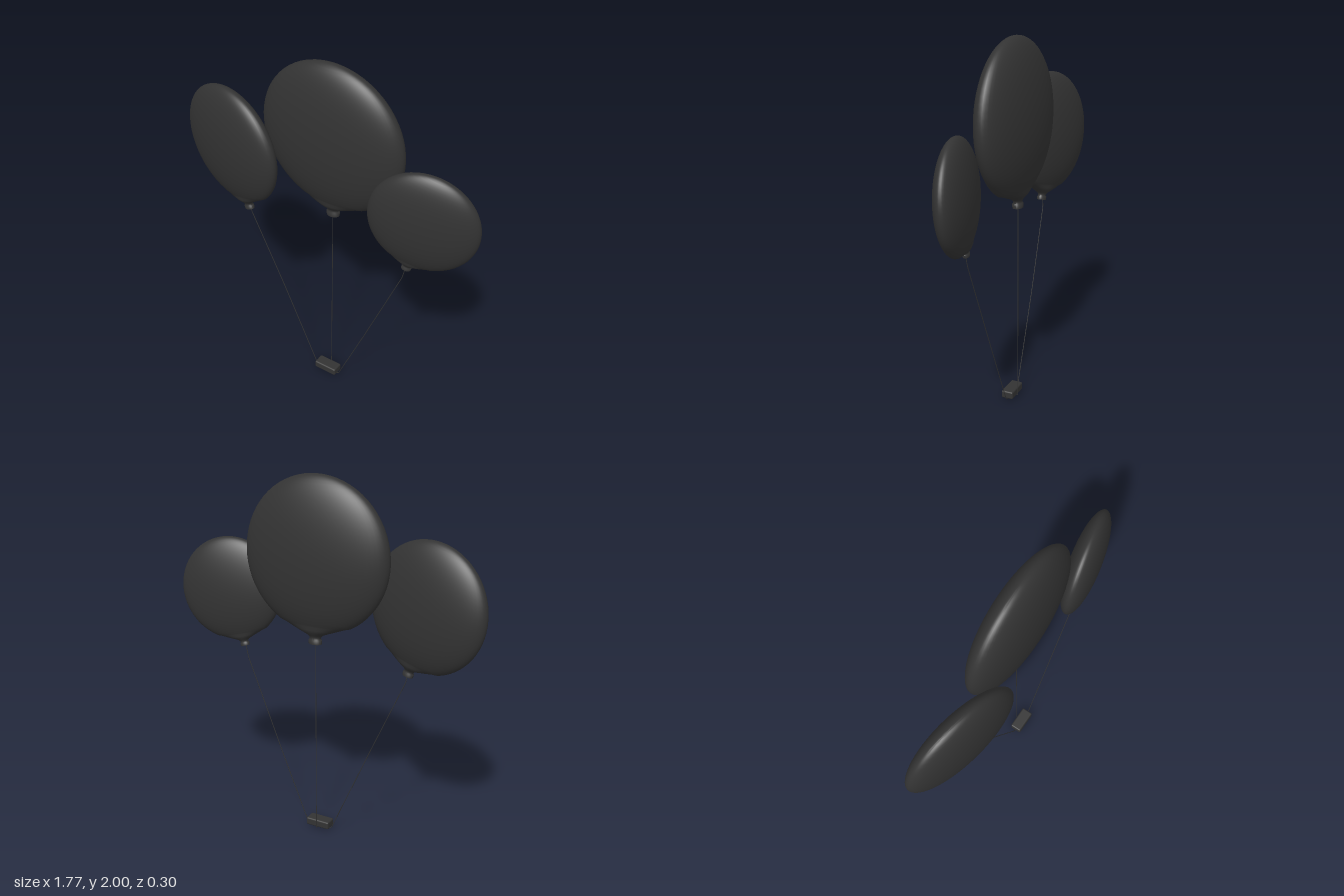
import * as THREE from 'three';
import { mergeVertices, toCreasedNormals } from 'three/addons/utils/BufferGeometryUtils.js';
import { RoundedBoxGeometry } from 'three/addons/geometries/RoundedBoxGeometry.js';

const material = new THREE.MeshStandardMaterial({ color: 0x333333 });

// Unit foil balloon: round from the front, flattened in depth, with a rounder neck and lip
function balloonGeometry() {
  const profile = [
    [0, -1.12], [0.07, -1.135], [0.088, -1.135], [0.092, -1.085], [0.076, -1.07],
    [0.078, -1.045], [0.11, -1.015], [0.2, -0.975], [0.33, -0.925], [0.43, -0.885],
  ].map(([r, y]) => new THREE.Vector2(r, y));
  const steps = 28, start = -1.04;
  for (let i = 0; i <= steps; i++) {
    const a = start + (Math.PI / 2 - start) * (i / steps);
    profile.push(new THREE.Vector2(i === steps ? 0 : Math.cos(a), Math.sin(a)));
  }
  let geo = new THREE.LatheGeometry(profile, 56);
  const p = geo.attributes.position;
  for (let i = 0; i < p.count; i++) {
    const neck = THREE.MathUtils.smoothstep(-p.getY(i), 0.85, 1.07);
    p.setZ(i, p.getZ(i) * THREE.MathUtils.lerp(0.285, 0.75, neck));
  }
  geo.deleteAttribute('normal');
  geo.deleteAttribute('uv');
  geo = mergeVertices(geo);
  return toCreasedNormals(geo, 0.9);
}

// Thin cord through a few points
function cord(name, points) {
  const curve = new THREE.CatmullRomCurve3(points.map((q) => new THREE.Vector3(...q)), false, 'catmullrom', 0.1);
  const mesh = new THREE.Mesh(new THREE.TubeGeometry(curve, 160, 0.0022, 6), material);
  mesh.name = name;
  return mesh;
}

export function createModel() {
  const group = new THREE.Group();
  group.name = 'balloonBunch';

  // Balloons: centre, radius, pitch, yaw and roll
  const geo = balloonGeometry();
  const balloons = [
    ['middleBalloon', [0.04, 1.585, -0.033], 0.415, [0.03, 0, 0]],
    ['rightBalloon', [-0.555, 1.377, 0.03], 0.342, [0, -0.216, 0.25]],
    ['leftBalloon', [0.598, 1.322, 0.01], 0.288, [0, 0.21, -0.24]],
  ];
  for (const [name, position, radius, [rx, ry, rz]] of balloons) {
    const mesh = new THREE.Mesh(geo, material);
    mesh.name = name;
    mesh.position.set(...position);
    mesh.rotation.set(rx, ry, rz, 'ZYX');
    mesh.scale.setScalar(radius);
    group.add(mesh);
  }

  // Weight at the bottom
  const weight = new THREE.Mesh(new RoundedBoxGeometry(0.14, 0.044, 0.068, 3, 0.009), material);
  weight.name = 'weight';
  weight.position.set(0.036, 0.03, -0.011);
  group.add(weight);

  // Strings, tucked under the weight
  group.add(
    cord('middleString', [[0.038, 1.13, -0.047], [0.038, 0.03, -0.047], [0.038, 0.008, -0.043], [0.038, 0.006, 0.018]]),
    cord('rightString', [[-0.459, 1.01, 0.025], [-0.452, 0.96, 0.018], [-0.26, 0.52, 0], [-0.052, 0.04, -0.01],
      [-0.042, 0.014, -0.011], [-0.03, 0.0045, -0.011], [0.036, 0.0025, -0.011]]),
    cord('leftString', [[0.52, 1.01, 0.015], [0.5, 0.93, 0.012], [0.28, 0.4, -0.002], [0.126, 0.04, -0.01],
      [0.115, 0.014, -0.011], [0.102, 0.0045, -0.011], [0.036, 0.0025, -0.011]]),
  );
  return group;
}
